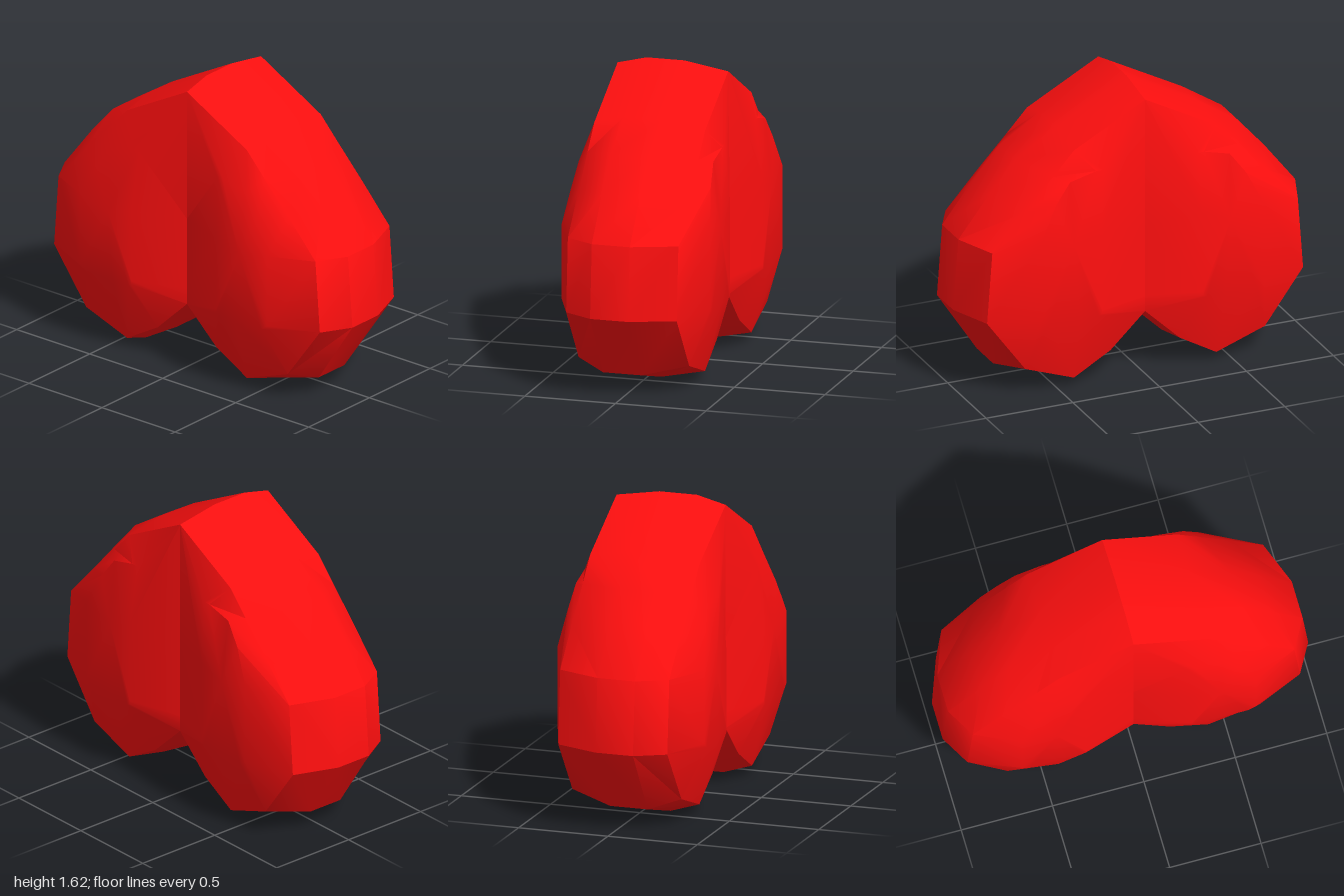
import * as THREE from 'three';
import { toCreasedNormals } from 'three/addons/utils/BufferGeometryUtils.js';

// Half outlines, clockwise from the top point: [x, y]
const RIM = [[0, 1.62], [0.41, 1.4], [0.64, 1.25], [0.79, 1.08], [0.97, 0.85],
  [1, 0.45], [0.77, 0.1], [0.41, 0], [0.2, 0.12], [0, 0.31]];
// Bevel edge of the front and back, closed along the centre line
const BEVEL = [[0, 1.58], [0.41, 1.36], [0.53, 1.23], [0.7, 1.05], [0.88, 0.85],
  [0.91, 0.45], [0.69, 0.15], [0.41, 0.05], [0.2, 0.17], [0, 0.36], [0, 0.45], [0, 0.85]];
// Raised plateau of each lobe: [x, y, z]
const PLATEAU = [[0.27, 1.19, 0.375], [0.31, 1.19, 0.375], [0.46, 1.15, 0.372], [0.55, 1.03, 0.385],
  [0.64, 0.85, 0.41], [0.64, 0.45, 0.41], [0.6, 0.42, 0.41], [0.42, 0.42, 0.41],
  [0.31, 0.42, 0.41], [0.29, 0.43, 0.41], [0.29, 0.45, 0.41], [0.29, 0.85, 0.41]];

const atZ = (ring, z) => ring.map(([x, y]) => [x, y, z]);

function heartGeometry() {
  const pos = [];
  // Every triangle is mirrored to the other lobe with its order reversed
  const tri = (a, b, c) => {
    pos.push(...a, ...b, ...c);
    for (const [x, y, z] of [a, c, b]) pos.push(-x, y, z);
  };
  const backPlateau = PLATEAU.map(([x, y, z]) => [x, y > 0.8 ? y + 0.06 : y + 0.01, -z]);
  const rings = [backPlateau, atZ(BEVEL, -0.31), atZ(RIM, -0.07), atZ(RIM, 0.14), atZ(BEVEL, 0.3), PLATEAU];

  // Skin between neighbouring rings, back to front
  for (let r = 0; r < rings.length - 1; r++) {
    const A = rings[r], B = rings[r + 1];
    const closed = A.length === 12 && B.length === 12;
    const count = closed ? 12 : 9;
    for (let i = 0; i < count; i++) {
      const j = closed ? (i + 1) % 12 : i + 1;
      tri(A[i], B[i], B[j]);
      tri(A[i], B[j], A[j]);
    }
  }

  // Plateau caps
  for (let i = 0; i < 12; i++) {
    const j = (i + 1) % 12;
    tri([0.45, 0.8, 0.41], PLATEAU[j], PLATEAU[i]);
    tri([0.45, 0.85, -0.41], backPlateau[i], backPlateau[j]);
  }

  const geometry = new THREE.BufferGeometry();
  geometry.setAttribute('position', new THREE.Float32BufferAttribute(pos, 3));
  return toCreasedNormals(geometry, 0.6);
}

export function createModel() {
  const group = new THREE.Group();
  group.name = 'invertedHeart';
  const material = new THREE.MeshStandardMaterial({ color: 0xff0f0f });
  const heart = new THREE.Mesh(heartGeometry(), material);
  heart.name = 'heartBody';
  group.add(heart);
  return group;
}
